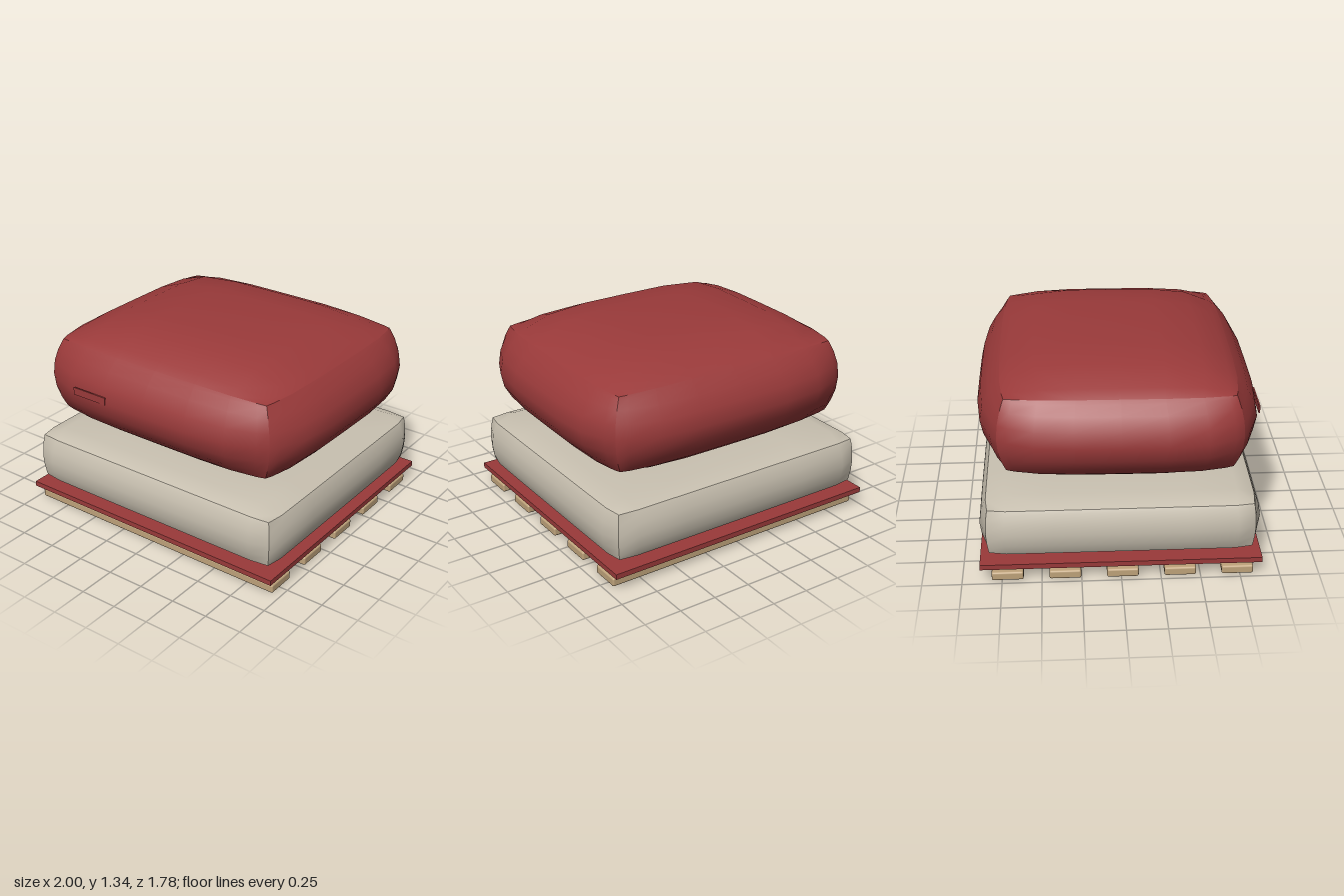
import * as THREE from 'three';
import { RoundedBoxGeometry } from 'three/addons/geometries/RoundedBoxGeometry.js';

// Stuffed box: each axis is [corner half size, bulge along both edge directions, extra bulge at face centre].
// The powers say how late the bulge falls off towards the box edges (x, y, z).
function stuffedBox(segments, powers, sizeX, sizeY, sizeZ) {
  const geometry = new THREE.BoxGeometry(2, 2, 2, segments, segments, segments);
  const pos = geometry.attributes.position;
  const spread = t => Math.sin(t * Math.PI / 2);
  const swell = (t, power) => 1 - Math.pow(Math.abs(t), power);
  const half = ([base, a, b, face], ga, gb) => base + a * ga + b * gb + face * ga * gb;
  for (let i = 0; i < pos.count; i++) {
    const x = spread(pos.getX(i)), y = spread(pos.getY(i)), z = spread(pos.getZ(i));
    const gx = swell(x, powers[0]), gy = swell(y, powers[1]), gz = swell(z, powers[2]);
    pos.setXYZ(i, x * half(sizeX, gy, gz), y * half(sizeY, gx, gz), z * half(sizeZ, gx, gy));
  }
  geometry.computeVertexNormals(); // faces stay separate, so box edges stay crisp
  return geometry;
}

export function createModel() {
  const model = new THREE.Group();
  const material = (name, color) => {
    const m = new THREE.MeshStandardMaterial({ color });
    m.name = name;
    return m;
  };
  const red = material('red fabric', 0x9a3a3a);
  const cream = material('cream fabric', 0xc8c0b0);
  const wood = material('pale wood', 0xbfa37b);

  const add = (name, geometry, mat, x, y, z, parent = model) => {
    const mesh = new THREE.Mesh(geometry, mat);
    mesh.name = name;
    mesh.position.set(x, y, z);
    parent.add(mesh);
    return mesh;
  };

  // Five slats running side to side
  const slats = new THREE.Group();
  slats.name = 'slats';
  model.add(slats);
  const slatGeometry = new RoundedBoxGeometry(1.915, 0.058, 0.2, 2, 0.012);
  for (let i = 0; i < 5; i++) {
    add('slat' + (i + 1), slatGeometry, wood, -0.012, 0.036, 0.735 - i * 0.3625, slats);
  }

  // Thin board floating above the slats
  add('baseSheet', new THREE.BoxGeometry(1.955, 0.035, 1.77), red, -0.012, 0.122, 0);

  // Firm inner pad with narrow bevelled edges
  const pad = stuffedBox(6, [20, 2, 20],
    [0.915, 0.015, 0.02, 0.03], [0.155, 0.002, 0.002, 0.046], [0.825, 0.015, 0.015, 0.03]);
  add('innerPad', pad, cream, -0.012, 0.346, 0);

  // Plump outer cushion, very slightly skewed
  const cushion = stuffedBox(8, [4.5, 2, 4.5],
    [0.8, 0.06, 0.05, 0.09], [0.245, 0.01, 0.01, 0.13], [0.7, 0.04, 0.05, 0.1]);
  const skew = new THREE.Matrix4().set(1, 0, -0.015, 0, 0, 1, 0, 0, 0, 0, 1, 0, 0, 0, 0, 1);
  cushion.applyMatrix4(skew);
  cushion.computeVertexNormals();
  add('cushion', cushion, red, 0, 0.95, 0);

  // Small label tab on the cushion front
  add('labelTab', new THREE.BoxGeometry(0.26, 0.05, 0.009), red, -0.435, 0.965, 0.885);

  return model;
}
